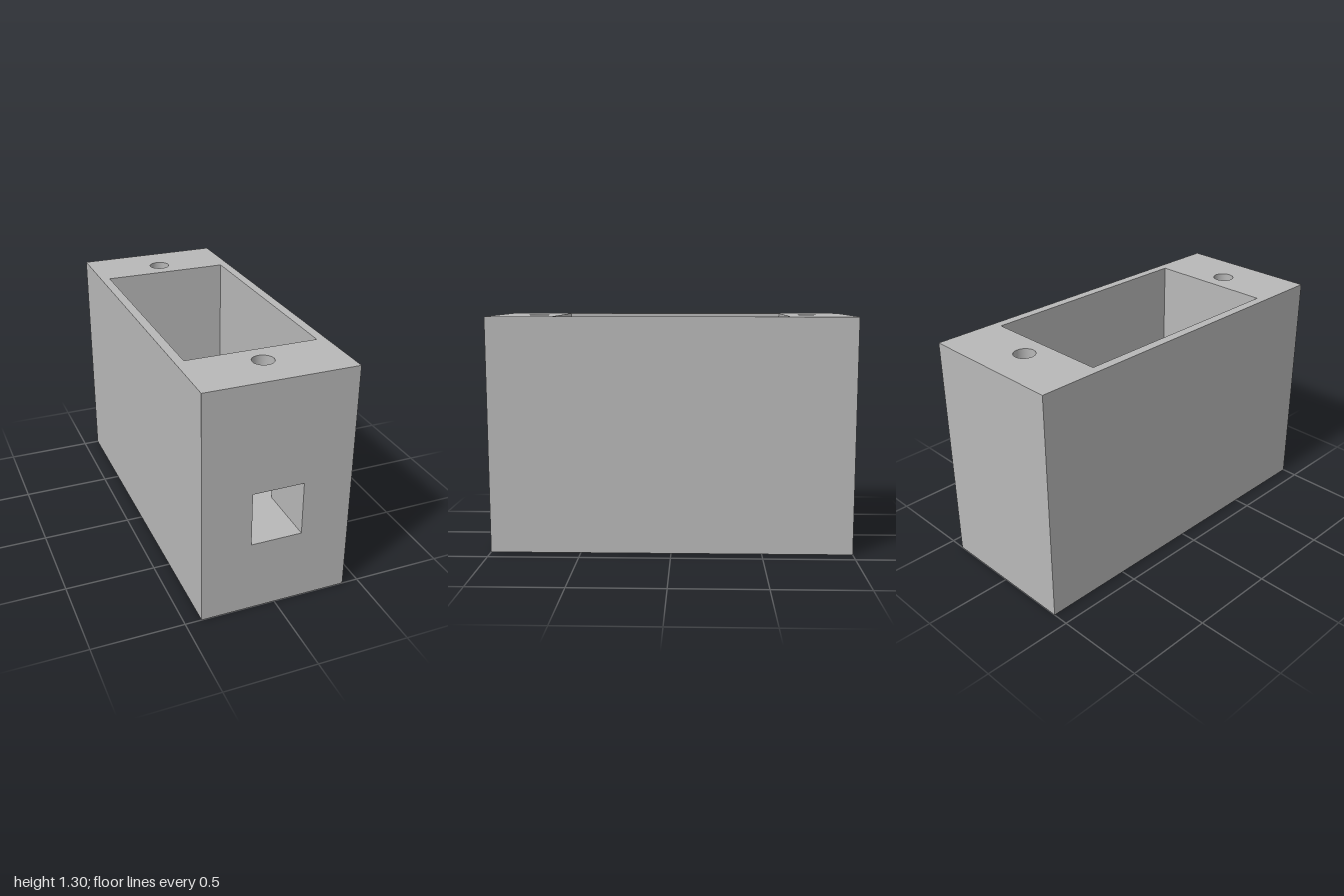
import * as THREE from 'three';

export function createModel() {
  const model = new THREE.Group();
  const grey = new THREE.MeshStandardMaterial({ color: 0xb8b8b8 });

  // Main dimensions (half sizes for x and z)
  const X = 0.41, Z = 1, H = 1.3;          // outer block
  const CX = 0.36, CZ = 0.64, FLOOR = 0.4; // pocket
  const PX = 0.14, PTOP = 0.7;             // cable port, flush with the pocket floor
  const HOLE_R = 0.058, HOLE_Z = 0.772, HOLE_DEPTH = 0.4;

  const add = (name, geometry, x, y, z, rx = 0, ry = 0) => {
    const mesh = new THREE.Mesh(geometry, grey);
    mesh.name = name;
    mesh.position.set(x, y, z);
    mesh.rotation.set(rx, ry, 0);
    model.add(mesh);
  };
  const plane = (w, h) => new THREE.PlaneGeometry(w, h);
  const outline = (pts, Type = THREE.Shape) => new Type(pts.map(p => new THREE.Vector2(...p)));
  const rect = (hx, y0, y1, Type) => outline([[-hx, y0], [hx, y0], [hx, y1], [-hx, y1]], Type);
  const Q = Math.PI / 2;

  // Top rim with pocket opening and two screw holes
  const top = rect(X, -Z, Z);
  top.holes.push(rect(CX, -CZ, CZ, THREE.Path));
  for (const s of [-1, 1]) {
    top.holes.push(new THREE.Path().absarc(0, s * HOLE_Z, HOLE_R, 0, Math.PI * 2, true));
  }
  add('topRim', new THREE.ShapeGeometry(top, 20), 0, H, 0, -Q);

  // Front face with port opening
  const front = rect(X, 0, H);
  front.holes.push(rect(PX, FLOOR, PTOP, THREE.Path));
  add('frontFace', new THREE.ShapeGeometry(front), 0, 0, Z);

  // Other outer faces
  add('backFace', plane(2 * X, H), 0, H / 2, -Z, 0, Math.PI);
  add('base', plane(2 * X, 2 * Z), 0, 0, 0, Q);

  // Sides: outer face, pocket wall and port wall
  const pocketH = H - FLOOR, pocketY = (H + FLOOR) / 2;
  const portH = PTOP - FLOOR, portY = (PTOP + FLOOR) / 2;
  const portL = Z - CZ, portZ = (Z + CZ) / 2;
  for (const [side, s] of [['left', 1], ['right', -1]]) {
    add(side + 'Face', plane(2 * Z, H), s * X, H / 2, 0, 0, s * Q);
    add(side + 'PocketWall', plane(2 * CZ, pocketH), s * CX, pocketY, 0, 0, -s * Q);
    add(side + 'PortWall', plane(portL, portH), s * PX, portY, portZ, 0, -s * Q);
  }

  // Pocket floor and end walls, the front one notched by the port
  add('pocketFloor', plane(2 * CX, 2 * CZ), 0, FLOOR, 0, -Q);
  add('pocketBackWall', plane(2 * CX, pocketH), 0, pocketY, -CZ);
  const notched = outline([
    [-CX, FLOOR], [-PX, FLOOR], [-PX, PTOP], [PX, PTOP],
    [PX, FLOOR], [CX, FLOOR], [CX, H], [-CX, H],
  ]);
  add('pocketFrontWall', new THREE.ShapeGeometry(notched), 0, 0, CZ, 0, Math.PI);

  // Port floor and ceiling
  add('portFloor', plane(2 * PX, portL), 0, FLOOR, portZ, -Q);
  add('portCeiling', plane(2 * PX, portL), 0, PTOP, portZ, Q);

  // Blind screw holes; profile runs downward so the wall faces inward
  const bore = [new THREE.Vector2(HOLE_R, 0), new THREE.Vector2(HOLE_R, -HOLE_DEPTH)];
  for (const s of [-1, 1]) {
    add('screwHoleWall', new THREE.LatheGeometry(bore, 40), 0, H, s * HOLE_Z);
    add('screwHoleBottom', new THREE.CircleGeometry(HOLE_R, 40), 0, H - HOLE_DEPTH, s * HOLE_Z, -Q);
  }

  return model;
}
